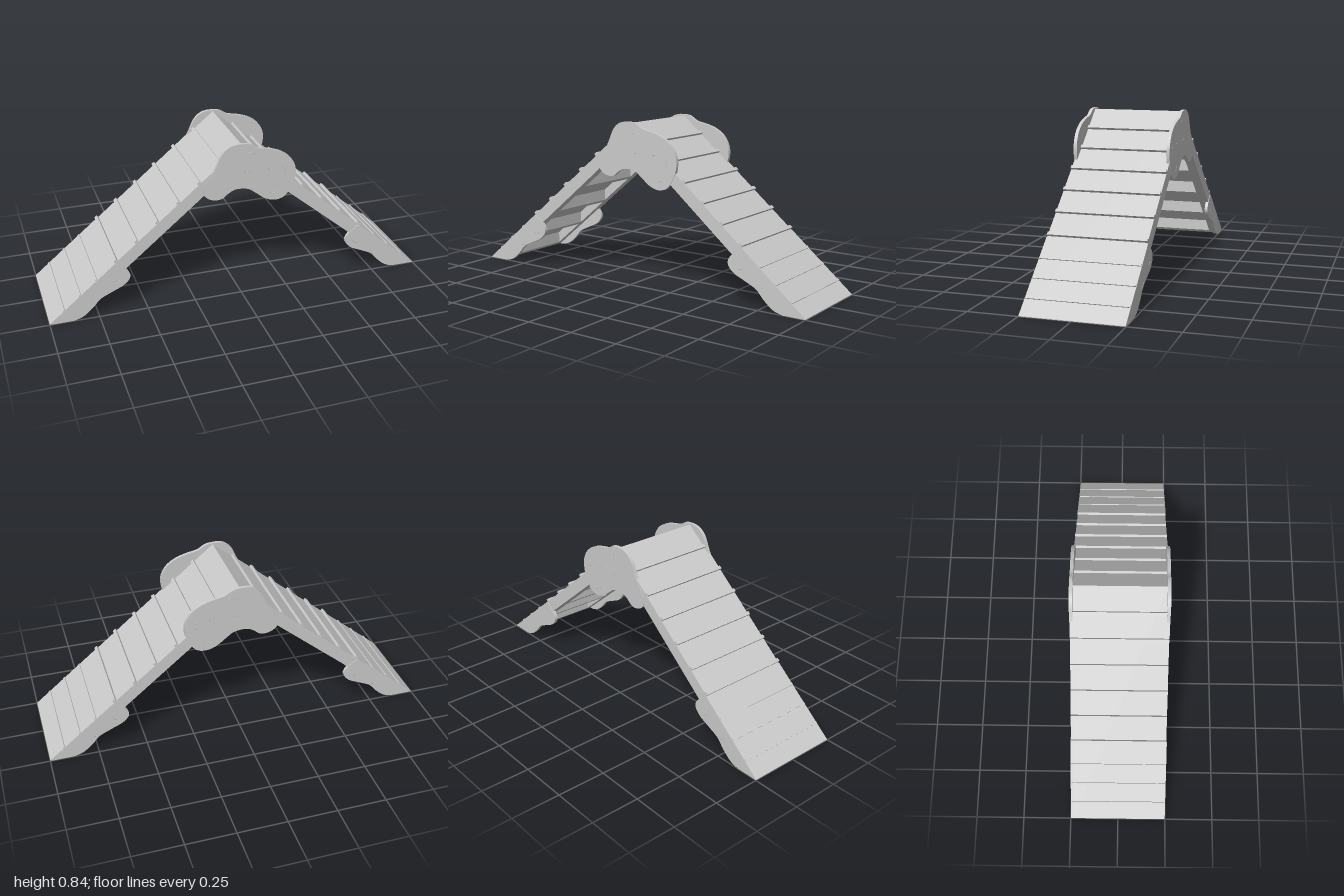
import * as THREE from 'three';
import { toCreasedNormals } from 'three/addons/utils/BufferGeometryUtils.js';

const SLOPE = 0.83, APEX = 0.833, HALF = 0.246, DEPTH = 0.083;
const ANGLE = Math.atan(SLOPE);
const top = (x) => APEX - SLOPE * x;
const mat = new THREE.MeshStandardMaterial({ color: 0xcccccc });

function add(group, name, geometry) {
  const mesh = new THREE.Mesh(geometry, mat);
  mesh.name = name;
  group.add(mesh);
  return mesh;
}

// Extrude a side outline from z0 to z1
function extrude(shape, z0, z1) {
  const g = new THREE.ExtrudeGeometry(shape, { depth: z1 - z0, bevelEnabled: false, curveSegments: 6 });
  return g.translate(0, 0, z0);
}

// Sloping slab between x0 and x1, lying d0 to d1 below the walking surface, cut at the ground
function slab(side, x0, x1, d0, d1, z0, z1) {
  const p = [[x0, top(x0) - d0], [x1, top(x1) - d0]];
  if (top(x1) - d1 < 0) p.push([x1, 0], [(APEX - d1) / SLOPE, 0]);
  else p.push([x1, top(x1) - d1]);
  p.push([x0, top(x0) - d1]);
  return extrude(new THREE.Shape(p.map(([x, y]) => new THREE.Vector2(side * x, y))), z0, z1);
}

function makeRamp(side) {
  const ramp = new THREE.Group();
  ramp.name = side > 0 ? 'leftRamp' : 'rightRamp';

  add(ramp, 'deck', slab(side, 0, 1, 0, 0.022, -0.23, 0.23));
  for (const z of [-1, 1]) {
    const span = (a, b) => (z > 0 ? [a, b] : [-b, -a]);
    add(ramp, 'sideWall', slab(side, 0, 1, 0, DEPTH, ...span(0.228, HALF)));
    add(ramp, 'sideRail', slab(side, 0, 0.9, 0.02, DEPTH, ...span(0.195, 0.23)));
  }

  // Crossbars divide the hollow underside into bays
  for (const x of [0, 0.15, 0.335, 0.52, 0.705, 0.88])
    add(ramp, 'crossbar', slab(side, x, x + 0.02, 0.02, DEPTH, -0.2, 0.2));

  // Six raised slats, then three shallow ones near the ground
  for (let i = 0; i < 9; i++) {
    const low = i > 5;
    const x = low ? 0.753 + (i - 6) * 0.0855 : 0.108 * (i + 1);
    const h = low ? 0.005 : 0.013;
    const slat = add(ramp, 'slat', new THREE.BoxGeometry(low ? 0.012 : 0.018, h + 0.006, HALF * 2));
    const out = (h - 0.006) / 2;
    slat.position.set(side * (x + out * Math.sin(ANGLE)), top(x) + out * Math.cos(ANGLE), 0);
    slat.rotation.z = -side * ANGLE;
  }
  return ramp;
}

const vectors = (pts, s = 1) => pts.map(([x, y]) => new THREE.Vector2(s * x, y));

// Rounded plate around the peak
function peakShape() {
  const curve = new THREE.SplineCurve(vectors([
    [-0.15, 0.7], [-0.13, 0.74], [-0.1, 0.8], [-0.05, 0.835], [0.03, 0.835], [0.08, 0.808], [0.14, 0.795],
    [0.2, 0.775], [0.25, 0.74], [0.28, 0.69], [0.285, 0.64], [0.275, 0.595], [0.25, 0.55], [0.22, 0.52],
    [0.17, 0.512], [0.12, 0.53], [0.07, 0.568], [0.03, 0.594], [-0.03, 0.6], [-0.07, 0.583],
    [-0.1, 0.56], [-0.14, 0.555], [-0.18, 0.572], [-0.2, 0.605], [-0.19, 0.65], [-0.15, 0.7],
  ]));
  return new THREE.Shape(curve.getPoints(100).slice(0, -1));
}

// Wavy plate at the foot of a ramp
function footShape(side) {
  const curve = new THREE.SplineCurve(vectors([
    [0.88, 0], [0.83, 0.016], [0.78, 0.057], [0.74, 0.1], [0.68, 0.13], [0.62, 0.158],
    [0.588, 0.19], [0.585, 0.22], [0.61, 0.255], [0.645, 0.28], [0.66, 0.285],
  ], side));
  return new THREE.Shape([...vectors([[1, 0]], side), ...curve.getPoints(50), ...vectors([[1, 0.003]], side)]);
}

// Fine curved line on a plate: centre, radius, start angle, sweep
function curl(group, name, z, x, y, r, start, sweep) {
  const pts = [];
  for (let i = 0; i <= 8; i++) {
    const a = start + (sweep * i) / 8;
    pts.push(new THREE.Vector3(x + r * Math.cos(a), y + r * Math.sin(a), z * 0.2485));
  }
  add(group, name, new THREE.TubeGeometry(new THREE.CatmullRomCurve3(pts), 12, 0.0015, 5));
}

export function createModel() {
  const model = new THREE.Group();
  model.name = 'agilityRamp';
  for (const side of [-1, 1]) model.add(makeRamp(side));

  for (const z of [-1, 1]) {
    const trim = new THREE.Group();
    trim.name = z > 0 ? 'frontTrim' : 'backTrim';
    const [z0, z1] = z > 0 ? [0.232, 0.249] : [-0.249, -0.232];
    add(trim, 'peakPlate', toCreasedNormals(extrude(peakShape(), z0, z1), 0.6));
    curl(trim, 'curl', z, 0.04, 0.76, 0.03, 0.4, 2.2);
    curl(trim, 'curl', z, 0.2, 0.66, 0.03, -1, 2.2);
    curl(trim, 'curl', z, 0.17, 0.58, 0.03, 3.5, 2.2);
    for (const x of [0.03, 0.15]) curl(trim, 'eyeLine', z, x, 0.7, 0.018, 3.5, 2.4);
    for (const side of [-1, 1]) {
      add(trim, 'footPlate', toCreasedNormals(extrude(footShape(side), z0, z1), 0.6));
      curl(trim, 'curl', z, side * 0.76, 0.13, 0.025, 3.4, 2.2);
      curl(trim, 'curl', z, side * 0.65, 0.21, 0.025, 3.4, 2.2);
    }
    model.add(trim);
  }
  return model;
}
